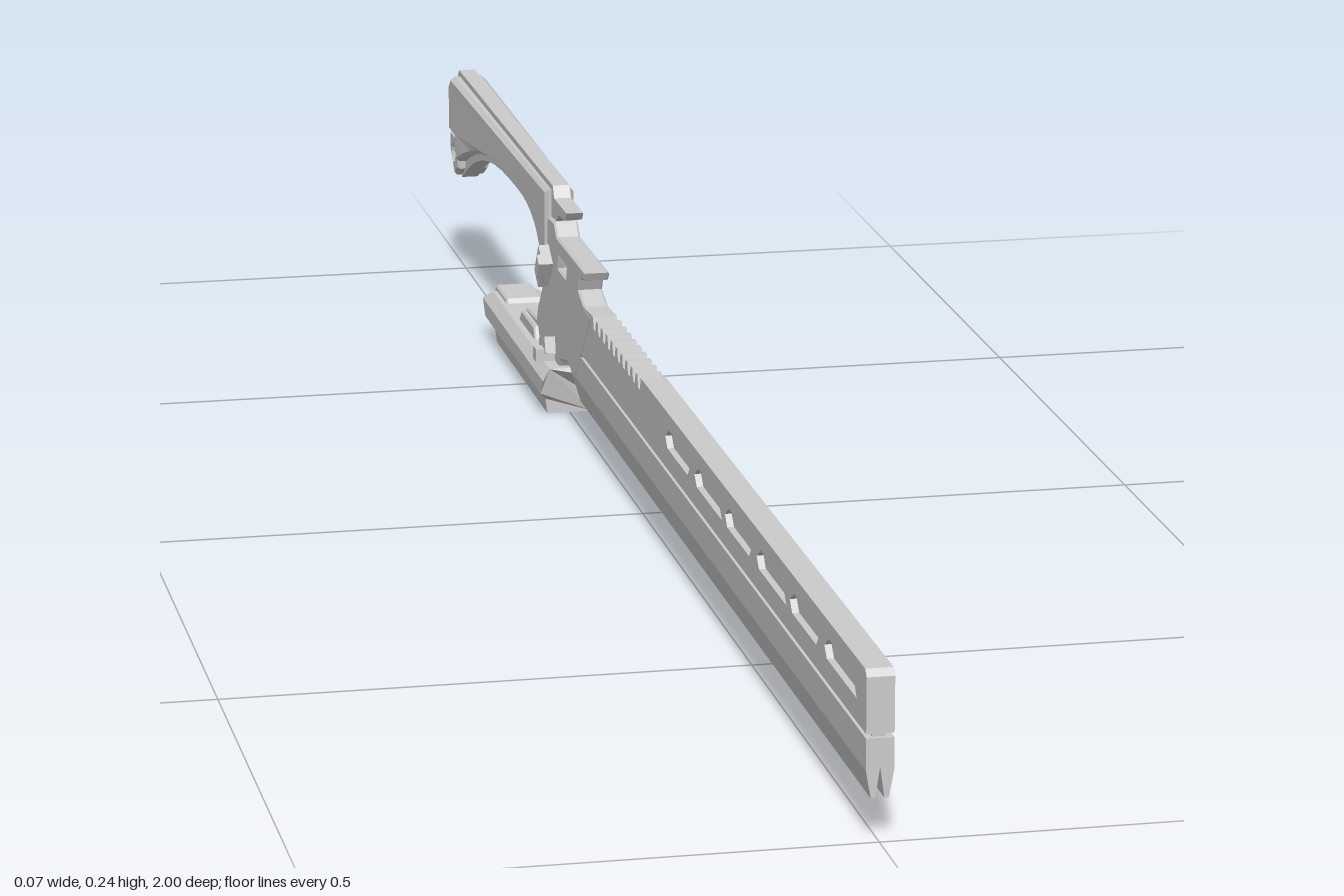
import * as THREE from 'three';

const grey = new THREE.MeshStandardMaterial({ color: 0xcccccc, flatShading: true, side: THREE.DoubleSide });

function outline(points) {
  return new THREE.Shape(points.map(([a, b]) => new THREE.Vector2(a, b)));
}

// Side profile, a Shape or points in (z, y), extruded to half-width `half` either side of x = 0
function sidePlate(profile, half, bevel = 0, holes = []) {
  const shape = Array.isArray(profile) ? outline(profile) : profile;
  holes.forEach((h) => shape.holes.push(outline(h)));
  const geo = new THREE.ExtrudeGeometry(shape, {
    depth: 2 * (half - bevel), curveSegments: 8, bevelEnabled: bevel > 0,
    bevelSize: bevel, bevelThickness: bevel, bevelOffset: -bevel, bevelSegments: 1,
  });
  geo.translate(0, 0, bevel - half);
  geo.rotateY(-Math.PI / 2);
  return geo;
}

// Cross-section given as (x, y), run from z0 to z1; shift(y, end) slants the ends
function crossBar(points, z0, z1, shift) {
  const geo = new THREE.ExtrudeGeometry(outline(points), { depth: z1 - z0, bevelEnabled: false });
  geo.translate(0, 0, z0);
  const p = geo.attributes.position;
  for (let i = 0; i < p.count; i++) {
    const atFront = p.getZ(i) > (z0 + z1) / 2;
    p.setZ(i, p.getZ(i) + shift(p.getY(i), atFront));
  }
  geo.computeVertexNormals();
  return geo;
}

// Mirrors a half cross-section listed from bottom to top on +x
const mirrored = (half) => [...half, ...half.map(([x, y]) => [-x, y]).reverse()];

export function createModel() {
  const model = new THREE.Group();
  const add = (name, geo) => {
    const mesh = new THREE.Mesh(geo, grey);
    mesh.name = name;
    model.add(mesh);
    return mesh;
  };

  // Blade spine with a saw-toothed back and six slanted windows
  const spine = [[1, 0.098], [1, 0.149], [0.994, 0.155], [0.05, 0.155]];
  for (let i = 0; i < 10; i++) {
    const z = 0.05 - i * 0.025;
    spine.push([z - 0.004, 0.142], [z - 0.013, 0.142], [z - 0.016, 0.154], [z - 0.025, 0.154]);
  }
  spine.push([-0.24, 0.152], [-0.36, 0.152], [-0.36, 0.098]);
  const windows = [];
  for (let i = 0; i < 6; i++) {
    const z = 0.965 - i * 0.135;
    const flip = i % 2;
    windows.push([
      [z - 0.018 * flip, 0.119], [z - 0.018 * (1 - flip), 0.139],
      [z - 0.105, 0.139], [z - 0.122, 0.129], [z - 0.112, 0.119],
    ]);
  }
  add('bladeSpine', sidePlate(spine, 0.0125, 0, windows));
  add('bladeCore', sidePlate([[0.995, 0.085], [0.995, 0.14], [-0.34, 0.14], [-0.34, 0.085]], 0.006));

  // Lower blade, split by a channel along its underside
  const edge = [
    [0, 0.068], [0.004, 0.04], [0.008, 0.04], [0.0125, 0.065], [0.0125, 0.094],
    [-0.0125, 0.094], [-0.0125, 0.065], [-0.008, 0.04], [-0.004, 0.04],
  ];
  add('bladeEdge', crossBar(edge, -0.28, 1, (y, front) => (front ? 0 : -(y - 0.04) * 1.1)));

  // Frame joining blade, handle and guard
  const frame = [
    [-0.2, 0.15], [-0.24, 0.153], [-0.268, 0.163], [-0.262, 0.176], [-0.235, 0.181],
    [-0.23, 0.19], [-0.385, 0.19], [-0.40, 0.203], [-0.44, 0.2], [-0.45, 0.135],
    [-0.492, 0.088], [-0.5, 0.072], [-0.56, 0.069], [-0.575, 0.045], [-0.38, 0.045],
    [-0.37, 0.06], [-0.325, 0.07], [-0.29, 0.06],
  ];
  add('frame', sidePlate(frame, 0.0128, 0.002, [
    [[-0.335, 0.158], [-0.33, 0.172], [-0.375, 0.172], [-0.38, 0.158]],
  ]));
  add('thumbHook', sidePlate([
    [-0.35, 0.224], [-0.42, 0.224], [-0.44, 0.2], [-0.41, 0.198], [-0.395, 0.211], [-0.357, 0.215],
  ], 0.009));

  // Handle: thin core rim with thicker chamfered grips, flared at the butt
  const handle = new THREE.Shape();
  handle.moveTo(-0.425, 0.236);
  handle.lineTo(-0.985, 0.236);
  handle.lineTo(-1, 0.222);
  handle.lineTo(-1, 0.143);
  handle.lineTo(-0.97, 0.115);
  handle.lineTo(-0.94, 0.13);
  handle.bezierCurveTo(-0.85, 0.172, -0.77, 0.184, -0.63, 0.184);
  handle.bezierCurveTo(-0.53, 0.184, -0.49, 0.178, -0.455, 0.125);
  handle.lineTo(-0.425, 0.13);
  handle.lineTo(-0.405, 0.165);
  handle.lineTo(-0.425, 0.19);
  handle.lineTo(-0.412, 0.216);
  const lanyard = [];
  for (let i = 0; i < 12; i++) {
    const a = (i / 12) * Math.PI * 2;
    lanyard.push([-0.974 + 0.008 * Math.cos(a), 0.143 + 0.008 * Math.sin(a)]);
  }
  add('handleCore', sidePlate(handle, 0.009, 0, [lanyard]));

  const grip = new THREE.Shape();
  grip.moveTo(-0.432, 0.23);
  grip.lineTo(-0.98, 0.23);
  grip.lineTo(-0.995, 0.218);
  grip.lineTo(-0.995, 0.165);
  grip.lineTo(-0.955, 0.165);
  grip.lineTo(-0.95, 0.138);
  grip.bezierCurveTo(-0.85, 0.179, -0.77, 0.19, -0.63, 0.19);
  grip.bezierCurveTo(-0.53, 0.19, -0.49, 0.184, -0.46, 0.145);
  grip.lineTo(-0.435, 0.165);
  const gripGeo = sidePlate(grip, 0.0155, 0.004);
  const gp = gripGeo.attributes.position;
  for (let i = 0; i < gp.count; i++) {
    const flare = THREE.MathUtils.smoothstep(-gp.getZ(i), 0.85, 0.95);
    gp.setX(i, gp.getX(i) * (1 + 0.3 * flare));
  }
  gripGeo.computeVertexNormals();
  add('handleGrip', gripGeo);
  add('pommel', sidePlate([
    [-0.945, 0.165], [-0.998, 0.165], [-0.998, 0.145], [-0.97, 0.118], [-0.948, 0.13],
  ], 0.018, 0.003, [lanyard]));

  // Hand guard: chamfered keel with slanted ends
  const keel = mirrored([
    [0.024, 0], [0.026, 0.016], [0.034, 0.026], [0.034, 0.043], [0.025, 0.053],
  ]);
  const guardSlant = (y, front) => {
    const cut = y < 0.02 ? 0.03 : y < 0.03 ? 0.015 : y > 0.05 ? 0.012 : 0;
    return front ? -cut : cut;
  };
  add('guard', crossBar(keel, -0.705, -0.352, guardSlant));
  add('guardRearCap', sidePlate([
    [-0.63, 0.045], [-0.64, 0.058], [-0.70, 0.058], [-0.712, 0.045], [-0.70, 0.03], [-0.63, 0.03],
  ], 0.02, 0.002));
  add('guardRail', sidePlate([
    [-0.48, 0.05], [-0.49, 0.066], [-0.56, 0.066], [-0.575, 0.05],
  ], 0.018, 0.002));

  // Clamps and pins on the joints, running through to both sides
  const clamp = (name, z, y, w, h, half, tilt) => {
    const mesh = add(name, new THREE.BoxGeometry(half * 2, h, w));
    mesh.position.set(0, y, z);
    mesh.rotation.x = tilt;
  };
  clamp('upperClamp', -0.43, 0.148, 0.024, 0.04, 0.024, 0.6);
  clamp('upperPin', -0.418, 0.15, 0.014, 0.024, 0.028, 0.6);
  clamp('lowerClamp', -0.41, 0.066, 0.034, 0.018, 0.024, -0.3);
  clamp('lowerPin', -0.405, 0.059, 0.018, 0.014, 0.033, 0);
  return model;
}
